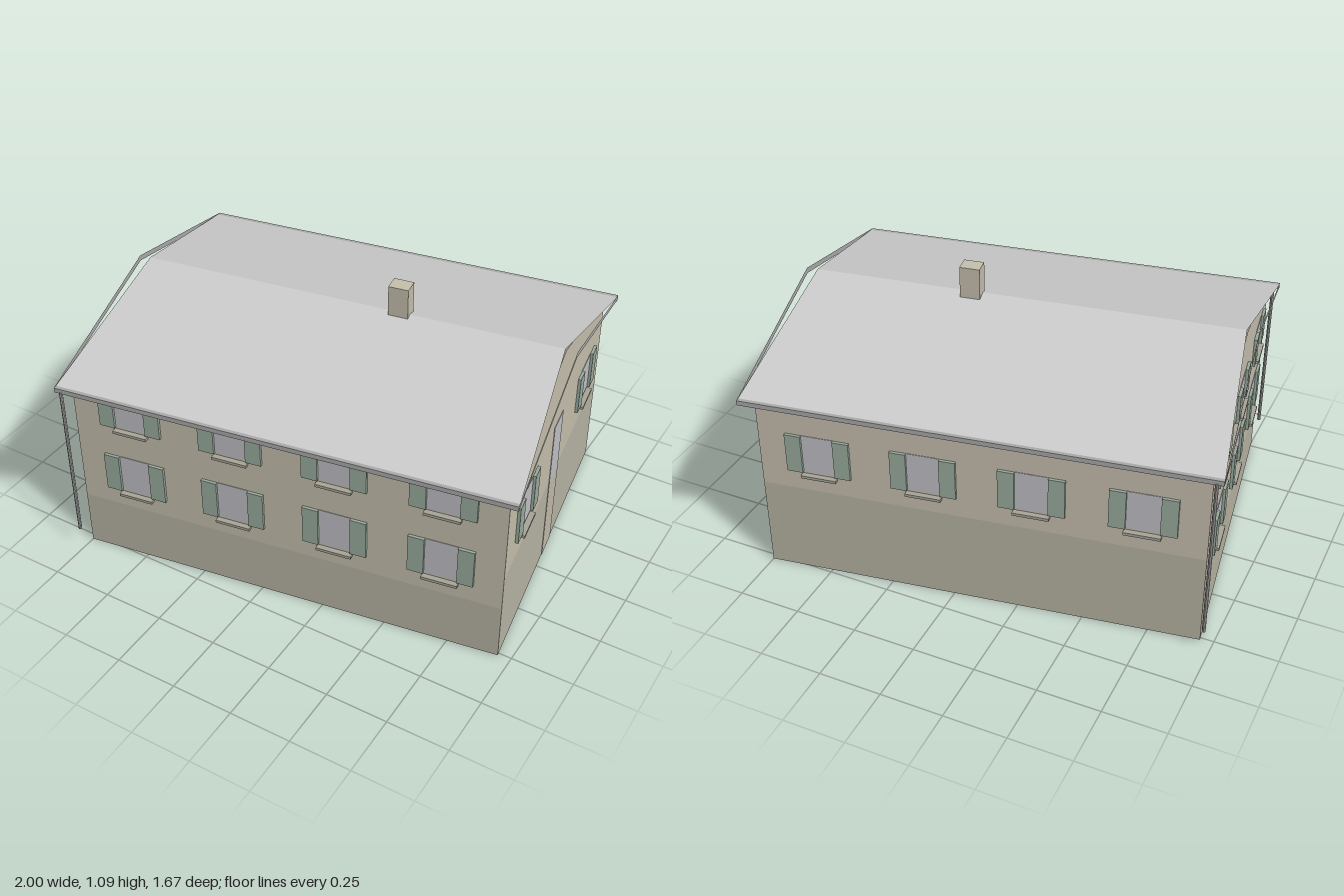
import * as THREE from 'three';

const mat = (color, side = THREE.FrontSide) => new THREE.MeshStandardMaterial({ color, side, flatShading: true });
const MATS = {
  wall: mat(0xc6bfad, THREE.DoubleSide),
  base: mat(0xb7b4a3, THREE.DoubleSide),
  doorway: mat(0xc2bbab),
  pane: mat(0xc0c0c6),
  shutter: mat(0x9aac9e),
  sill: mat(0xa8a498),
  roof: mat(0xcccccc, THREE.DoubleSide),
  trim: mat(0xaaaaaa, THREE.DoubleSide),
};

const HALF_X = 0.86, HALF_Z = 0.65;       // wall half sizes
const EAVE_X = 0.903, EAVE_Z = 0.69;      // roof edge half sizes
const RIDGE_X = 0.857, RIDGE_Y = 0.97, EAVE_Y = 0.79;
const GUTTER_Z = 0.706, WALL_TOP = 0.795, GABLE_TOP = 0.962;

function add(parent, name, geometry, material, x = 0, y = 0, z = 0) {
  const mesh = new THREE.Mesh(geometry, material);
  mesh.name = name;
  mesh.position.set(x, y, z);
  parent.add(mesh);
  return mesh;
}

const box = (w, h, d) => new THREE.BoxGeometry(w, h, d);
const flat = (pts) => new THREE.ShapeGeometry(new THREE.Shape(pts.map(([x, y]) => new THREE.Vector2(x, y))));

// Glazing, a pair of shutters and a projecting sill
function addWindow(parent, x, y0, y1) {
  const group = new THREE.Group();
  group.name = 'window';
  group.position.set(x, (y0 + y1) / 2, 0);
  const h = y1 - y0;
  add(group, 'pane', box(0.128, h, 0.004), MATS.pane);
  for (const s of [-1, 1]) add(group, 'shutter', box(0.063, h, 0.012), MATS.shutter, s * 0.0955, 0, 0.007);
  add(group, 'sill', box(0.14, 0.012, 0.022), MATS.sill, 0, -h / 2 - 0.014, 0.011);
  parent.add(group);
}

// One wall in its own frame: x along the wall, z outwards
function addFacade(parent, name, half, distance, angle, baseTop, gable, columns, rows) {
  const group = new THREE.Group();
  group.name = name;
  group.rotation.y = angle;
  group.position.set(Math.sin(angle) * distance, 0, Math.cos(angle) * distance);
  add(group, 'baseWall', flat([[-half, 0], [half, 0], [half, baseTop], [-half, baseTop]]), MATS.base);
  const outline = [[-half, baseTop], [half, baseTop], [half, WALL_TOP]];
  if (gable) outline.push([0, GABLE_TOP]);
  outline.push([-half, WALL_TOP]);
  add(group, 'upperWall', flat(outline), MATS.wall);
  for (const [y0, y1] of rows) for (const x of columns) addWindow(group, x, y0, y1);
  parent.add(group);
  return group;
}

export function createModel() {
  const model = new THREE.Group();
  model.name = 'house';
  const house = new THREE.Group();
  house.name = 'building';
  house.rotation.y = 0.153;
  model.add(house);

  // Walls
  const longColumns = [-0.622, -0.207, 0.207, 0.622];
  const twoRows = [[0.32, 0.485], [0.63, 0.755]];
  const oneRow = [[0.472, 0.637]];
  addFacade(house, 'frontWall', HALF_X, HALF_Z, 0, 0.24, false, longColumns, twoRows);
  addFacade(house, 'backWall', HALF_X, HALF_Z, Math.PI, 0.385, false, longColumns, oneRow);
  addFacade(house, 'rightGableWall', HALF_Z, HALF_X, -Math.PI / 2, 0.25, true, [-0.414, 0, 0.414], twoRows);
  const doorWall = addFacade(house, 'leftGableWall', HALF_Z, HALF_X, Math.PI / 2, 0.385, true, [-0.414, 0.414], oneRow);

  // Tall glazed door with a plain strip below it
  add(doorWall, 'door', box(0.122, 0.275, 0.004), MATS.pane, 0, 0.5075);
  add(doorWall, 'doorStrip', box(0.122, 0.37, 0.004), MATS.doorway, 0, 0.185);

  // Roof slopes, narrowing slightly towards the ridge, with gutters
  for (const s of [1, -1]) {
    const slope = new THREE.BufferGeometry();
    slope.setAttribute('position', new THREE.Float32BufferAttribute([
      -EAVE_X, EAVE_Y, EAVE_Z, EAVE_X, EAVE_Y, EAVE_Z, RIDGE_X, RIDGE_Y, 0, -RIDGE_X, RIDGE_Y, 0], 3));
    slope.setIndex([0, 1, 2, 0, 2, 3]);
    slope.computeVertexNormals();
    add(house, 'roofSlope', slope, MATS.roof).rotation.y = s > 0 ? 0 : Math.PI;
    add(house, 'gutter', box(EAVE_X * 2, 0.02, GUTTER_Z - EAVE_Z), MATS.trim, 0, 0.78, s * (GUTTER_Z + EAVE_Z) / 2);
  }

  // Thin gable edge boards
  const board = flat([
    [-GUTTER_Z, 0.77], [0, 0.945], [GUTTER_Z, 0.77], [GUTTER_Z, 0.79], [0, 0.968], [-GUTTER_Z, 0.79]]);
  for (const s of [1, -1]) add(house, 'gableBoard', board, MATS.trim, s * EAVE_X).rotation.y = s * Math.PI / 2;

  // Downpipes at the two right-hand corners
  for (const s of [1, -1]) {
    add(house, 'downpipe', new THREE.CylinderGeometry(0.007, 0.007, 0.68, 8), MATS.trim, -0.877, 0.435, s * 0.703);
  }

  // Chimney
  add(house, 'chimney', box(0.08, 0.15, 0.064), MATS.wall, 0.21, 1.015, -0.008);
  return model;
}
